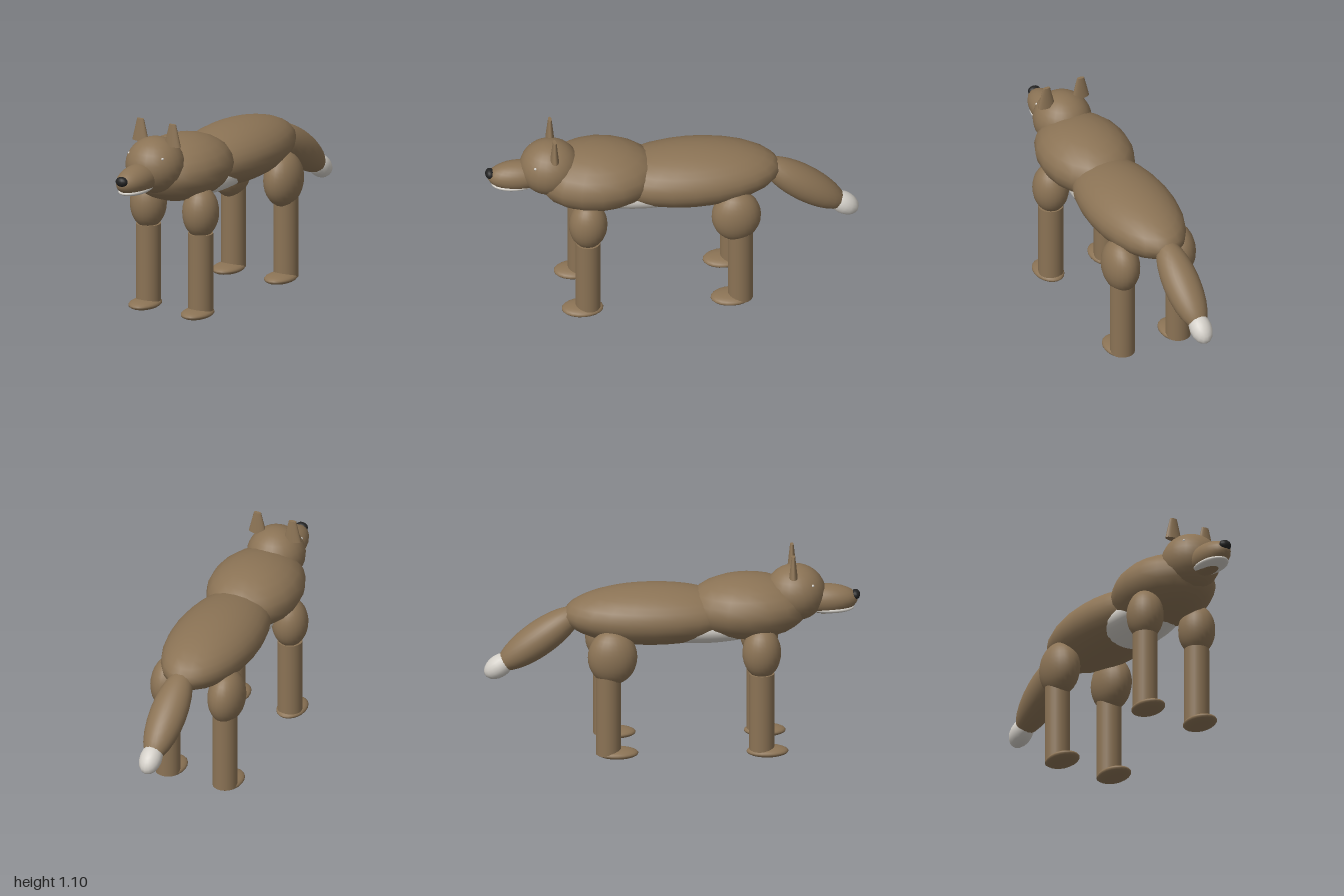
import * as THREE from 'three';

export function createModel() {
  const model = new THREE.Group();
  const material = (name, color) => {
    const m = new THREE.MeshStandardMaterial({ color });
    m.name = name;
    return m;
  };
  const fur = material('brown fur', 0x8b7355);
  const pale = material('pale fur', 0xd3cfc8);
  const dark = material('dark nose', 0x222222);

  const add = (name, geometry, mat, position) => {
    const mesh = new THREE.Mesh(geometry, mat);
    mesh.name = name;
    mesh.position.set(...position);
    model.add(mesh);
    return mesh;
  };
  // Smooth ellipsoid; tilt turns it about the x axis
  const ellipsoid = (name, mat, position, radii, tilt = 0, detail = 24) => {
    const g = new THREE.SphereGeometry(1, detail, Math.round(detail * 0.67));
    g.scale(...radii);
    g.rotateX(tilt);
    return add(name, g, mat, position);
  };

  // Trunk
  ellipsoid('hindBody', fur, [0, 0.753, -0.1], [0.235, 0.16, 0.48]);
  ellipsoid('chest', fur, [0, 0.79, 0.4], [0.25, 0.172, 0.33], 0, 18);
  ellipsoid('belly', pale, [0, 0.695, 0.14], [0.175, 0.098, 0.41]);

  // Head
  ellipsoid('head', fur, [0, 0.862, 0.655], [0.157, 0.152, 0.162]);
  ellipsoid('muzzle', fur, [0, 0.822, 0.82], [0.085, 0.08, 0.168]);
  ellipsoid('lowerJaw', pale, [0, 0.773, 0.84], [0.074, 0.025, 0.128]);
  ellipsoid('nose', dark, [0, 0.843, 0.975], [0.035, 0.027, 0.025], 0, 16);

  // Tail, sloping down to a pale tip
  const slope = -0.63;
  ellipsoid('tail', fur, [0, 0.62, -0.705], [0.1, 0.093, 0.27], slope);
  ellipsoid('tailTip', pale, [0, 0.467, -0.919], [0.06, 0.06, 0.09], slope, 16);

  for (const [side, s] of [['left', 1], ['right', -1]]) {
    // Flattened, blunt-topped ears
    const ear = new THREE.CylinderGeometry(0.021, 0.0505, 0.12, 20);
    ear.scale(1, 1, 0.45);
    add(side + 'Ear', ear, fur, [s * 0.1025, 1.036, 0.641]);
    ellipsoid(side + 'Eye', pale, [s * 0.106, 0.93, 0.744], [0.008, 0.007, 0.008], 0, 10);

    // Legs: thigh, shank and paw
    const legs = [
      { name: 'FrontLeg', thigh: [0.58, 0.47], radii: [0.097, 0.14, 0.103], shank: 0.47, paw: 0.5 },
      { name: 'HindLeg', thigh: [0.567, -0.323], radii: [0.097, 0.15, 0.132], shank: -0.345, paw: -0.297 },
    ];
    for (const leg of legs) {
      const x = s * 0.167;
      ellipsoid(side + leg.name + 'Thigh', fur, [x, ...leg.thigh], leg.radii);
      add(side + leg.name + 'Shank', new THREE.CylinderGeometry(0.067, 0.067, 0.44, 24), fur, [x, 0.245, leg.shank]);
      ellipsoid(side + leg.name + 'Paw', fur, [x, 0.028, leg.paw], [0.079, 0.028, 0.112], 0, 20);
    }
  }
  return model;
}
